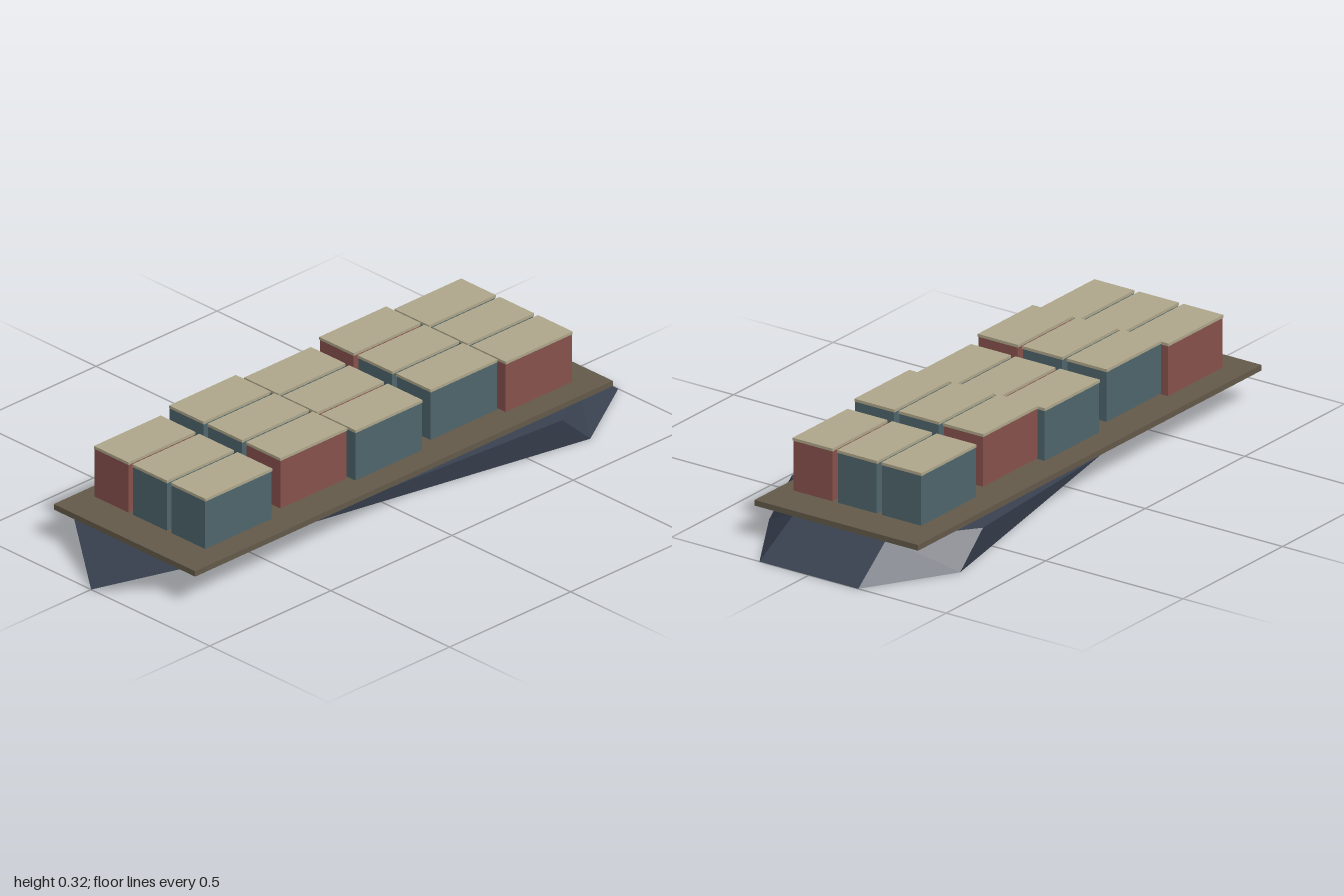
import * as THREE from 'three';

const mat = (name, color) => Object.assign(new THREE.MeshStandardMaterial({ color }), { name });

// Hull from a bottom ring and a top ring of [x, z] points, running bow to stern and back
function hullGeometry(bottom, top, height) {
  const n = bottom.length;
  const B = (i) => [bottom[i % n][0], 0, bottom[i % n][1]];
  const T = (i) => [top[i % n][0], height, top[i % n][1]];
  const pos = [];
  const tri = (...corners) => corners.forEach((c) => pos.push(...c));
  for (let i = 0; i < n - 1; i++) {
    const j = i + 1;
    if (i < n / 2) { tri(B(i), B(j), T(j)); tri(B(i), T(j), T(i)); }
    else { tri(B(i), B(j), T(i)); tri(B(j), T(j), T(i)); }
  }
  tri(B(0), T(0), T(n - 1)); // raked bow face
  for (let i = 1; i < n - 1; i++) {
    tri(T(0), T(i), T(i + 1));
    if (i < n - 2) tri(B(0), B(i + 1), B(i));
  }
  const g = new THREE.BufferGeometry();
  g.setAttribute('position', new THREE.Float32BufferAttribute(pos, 3));
  g.computeVertexNormals();
  return g;
}

export function createModel() {
  const model = new THREE.Group();
  model.name = 'cargoBarge';
  const hullPaint = mat('hullNavy', 0x394150);
  const deckPaint = mat('deckBrown', 0x635949);
  const teal = mat('containerTeal', 0x4d656c);
  const red = mat('containerRed', 0x87514b);
  const tan = mat('lidTan', 0xaea68a);

  const add = (parent, name, geometry, material, x = 0, y = 0, z = 0) => {
    const m = new THREE.Mesh(geometry, material);
    m.name = name;
    m.position.set(x, y, z);
    parent.add(m);
    return m;
  };

  // Hull: pointed at the bottom of the bow, square at the top
  const bottom = [[-1, 0], [0.72, 0.348], [1, 0.18], [1, -0.18], [0.72, -0.348], [-1, 0]];
  const top = [[-0.84, 0.24], [0.605, 0.348], [0.84, 0.168], [0.84, -0.168], [0.605, -0.348], [-0.84, -0.24]];
  add(model, 'hull', hullGeometry(bottom, top, 0.104), hullPaint);

  // Flat deck overhanging the hull
  add(model, 'deck', new THREE.BoxGeometry(1.724, 0.018, 0.596), deckPaint, 0, 0.113, 0);

  // Rows of lidded containers, every second column raised
  const body = new THREE.BoxGeometry(0.274, 0.16, 0.142);
  const lid = new THREE.BoxGeometry(0.276, 0.009, 0.146);
  for (let row = 0; row < 3; row++) {
    for (let col = 0; col < 5; col++) {
      const box = new THREE.Group();
      box.name = 'container';
      box.position.set((col - 2) * 0.31, 0.133 + (col % 2) * 0.021, (1 - row) * 0.162);
      add(box, 'containerBody', body, (col + 2 * row) % 3 === 1 ? red : teal, 0, 0.08, 0);
      add(box, 'containerLid', lid, tan, 0, 0.1635, 0);
      model.add(box);
    }
  }
  return model;
}
